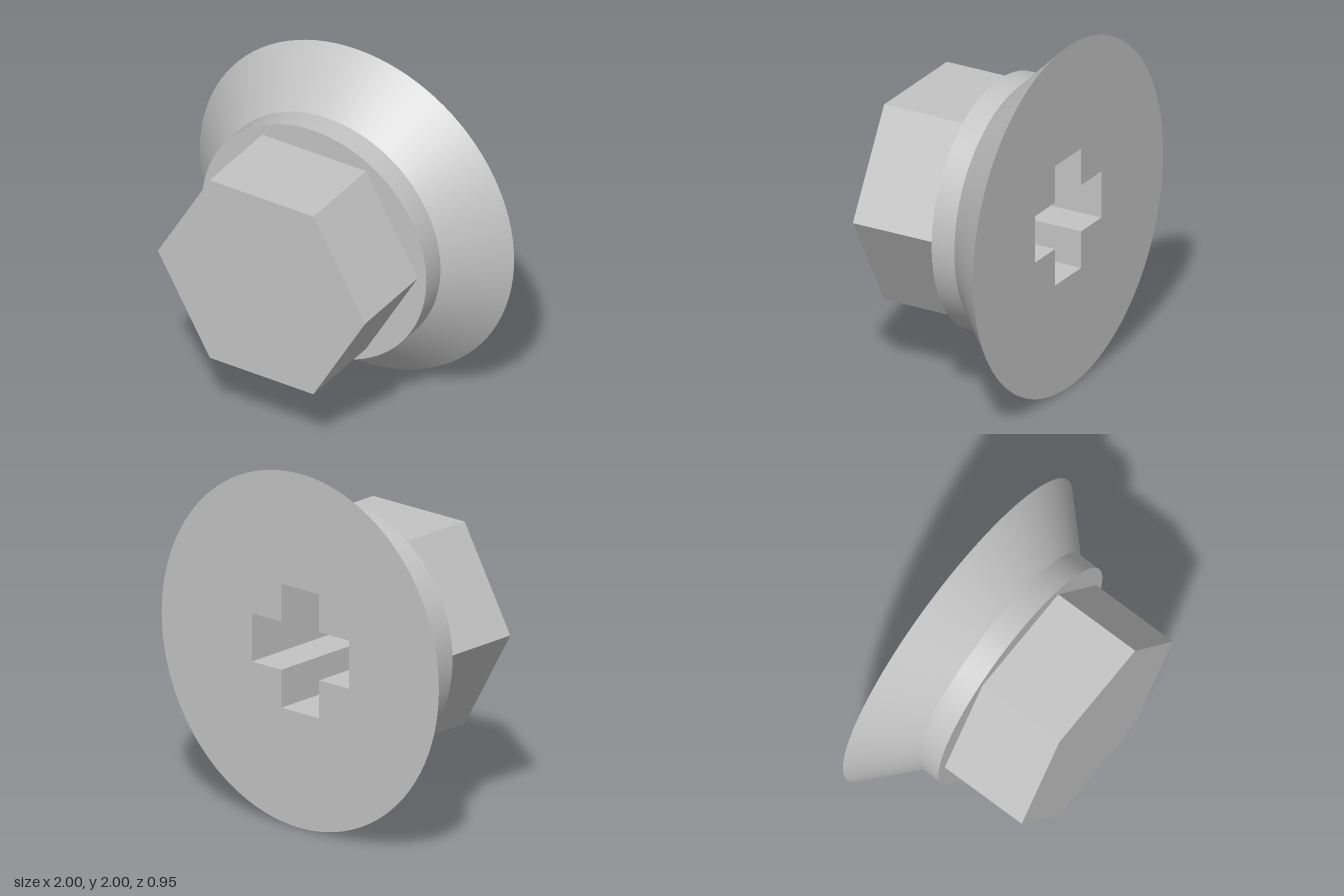
import * as THREE from 'three';

const BACK = -0.476, CONE_END = -0.19, COLLAR_END = -0.048, FRONT = 0.476;
const RIM_R = 1, COLLAR_R = 0.714, HEX_R = 0.66;
const SOCKET_FLOOR = BACK + 0.714, ARM = 0.35, HALF = 0.136;
const SEGMENTS = 96;

// Flat walls along a closed outline; they face the outline's left-hand side
function walls(points, z0, z1) {
  const pos = [];
  points.forEach((a, i) => {
    const b = points[(i + 1) % points.length];
    pos.push(a.x, a.y, z0, b.x, b.y, z1, b.x, b.y, z0);
    pos.push(a.x, a.y, z0, a.x, a.y, z1, b.x, b.y, z1);
  });
  const g = new THREE.BufferGeometry();
  g.setAttribute('position', new THREE.Float32BufferAttribute(pos, 3));
  g.computeVertexNormals();
  return g;
}

// Smooth band of revolution around z
function band(r0, z0, r1, z1) {
  const profile = [new THREE.Vector2(r0, z0), new THREE.Vector2(r1, z1)];
  return new THREE.LatheGeometry(profile, SEGMENTS).rotateX(Math.PI / 2);
}

function ring(n, r) {
  return Array.from({ length: n }, (_, i) => {
    const a = (i / n) * Math.PI * 2;
    return new THREE.Vector2(r * Math.cos(a), r * Math.sin(a));
  });
}

// Flat face at z, optionally pierced by a hole outline
function face(outline, z, hole, facesBack = false) {
  const shape = new THREE.Shape(outline);
  if (hole) shape.holes.push(new THREE.Path(hole));
  const g = new THREE.ShapeGeometry(shape);
  if (facesBack) g.rotateY(Math.PI);
  return g.translate(0, 0, z);
}

export function createModel() {
  const model = new THREE.Group();
  model.name = 'hexPlug';
  const grey = new THREE.MeshStandardMaterial({ color: 0xc4c4c4 });
  grey.name = 'grey';

  const hex = ring(6, HEX_R);
  const cross = [
    [ARM, -HALF], [ARM, HALF], [HALF, HALF], [HALF, ARM], [-HALF, ARM], [-HALF, HALF],
    [-ARM, HALF], [-ARM, -HALF], [-HALF, -HALF], [-HALF, -ARM], [HALF, -ARM], [HALF, -HALF],
  ].map(([x, y]) => new THREE.Vector2(x, y));

  const parts = {
    // Flared head and round collar
    flaredHead: band(RIM_R, BACK, COLLAR_R, CONE_END),
    collar: band(COLLAR_R, CONE_END, COLLAR_R, COLLAR_END),
    collarShoulder: face(ring(SEGMENTS, COLLAR_R), COLLAR_END, hex),
    // Hexagonal block
    hexSides: walls([...hex].reverse(), COLLAR_END, FRONT),
    hexFront: face(hex, FRONT),
    // Back disc with a deep cross-shaped socket
    backDisc: face(ring(SEGMENTS, RIM_R), BACK, cross, true),
    socketWalls: walls(cross, BACK, SOCKET_FLOOR),
    socketFloor: face(cross, SOCKET_FLOOR, null, true),
  };

  for (const [name, geometry] of Object.entries(parts)) {
    const mesh = new THREE.Mesh(geometry, grey);
    mesh.name = name;
    mesh.position.y = 1;
    model.add(mesh);
  }
  return model;
}
